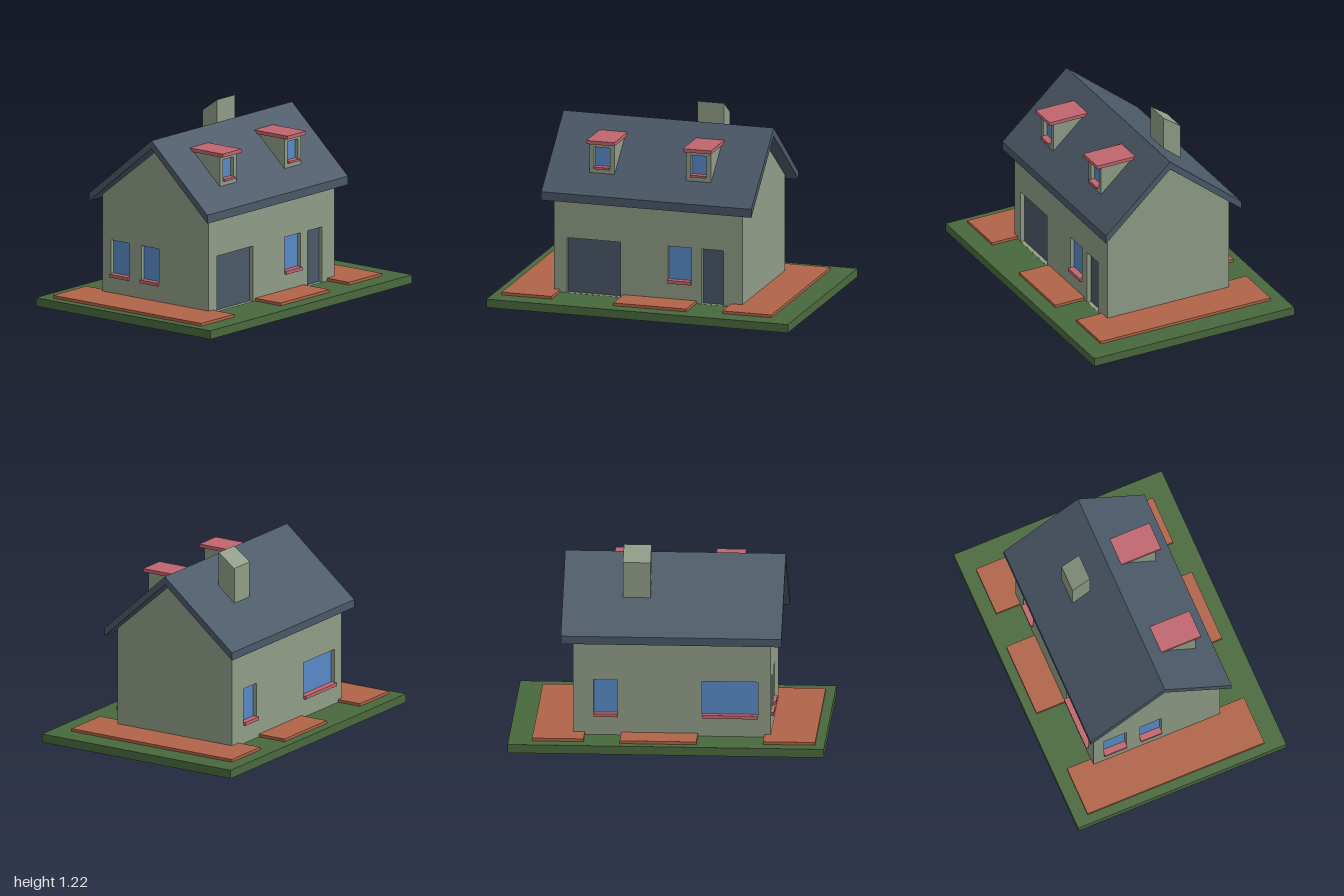
import * as THREE from 'three';

const mat = (name, color) => {
  const m = new THREE.MeshStandardMaterial({ color });
  m.name = name;
  return m;
};

export function createModel() {
  const house = new THREE.Group();
  house.name = 'house';
  const wall = mat('sage wall', 0x8f9c86);
  const slate = mat('slate', 0x4a5867);
  const glass = mat('blue glass', 0x588ac6);
  const trim = mat('rose trim', 0xc0656f);
  const paving = mat('terracotta paving', 0xb06347);
  const grass = mat('grass', 0x49693d);

  const add = (parent, name, geometry, material) => {
    const mesh = new THREE.Mesh(geometry, material);
    mesh.name = name;
    parent.add(mesh);
    return mesh;
  };
  // Box given by its lower and upper limits
  const box = (parent, name, material, x0, x1, y0, y1, z0, z1) => {
    const mesh = add(parent, name, new THREE.BoxGeometry(x1 - x0, y1 - y0, z1 - z0), material);
    mesh.position.set((x0 + x1) / 2, (y0 + y1) / 2, (z0 + z1) / 2);
    return mesh;
  };
  const outline = (points) => new THREE.Shape(points.map(([x, y]) => new THREE.Vector2(x, y)));

  // Wall panel with its outer face on local z = 0 and recessed windows or doors
  const T = 0.03;
  const panel = (name, points, openings) => {
    const group = new THREE.Group();
    group.name = name;
    const shape = outline(points);
    for (const { x0, x1, y0, y1, sill, door } of openings) {
      shape.holes.push(outline([[x0, y0], [x0, y1], [x1, y1], [x1, y0]]));
      box(group, door ? 'door' : 'windowPane', door ? slate : glass,
        x0 - 0.005, x1 + 0.005, y0 - 0.005, y1 + 0.005, -T - 0.004, -T + 0.004);
      if (sill) box(group, 'windowSill', trim, x0, x1, y0, y0 + sill, -T, 0.017);
    }
    const geometry = new THREE.ExtrudeGeometry(shape, { depth: T, bevelEnabled: false });
    geometry.translate(0, 0, -T);
    add(group, name + 'Panel', geometry, wall);
    house.add(group);
    return group;
  };
  const windowAt = (x0, x1) => ({ x0, x1, y0: 0.175, y1: 0.415, sill: 0.021 });
  const doorAt = (x0, x1) => ({ x0, x1, y0: 0.056, y1: 0.415, door: true });

  // Lawn and paving
  box(house, 'lawn', grass, -1, 1, 0, 0.055, -0.715, 0.715);
  box(house, 'leftPath', paving, 0.525, 0.85, 0.04, 0.073, -0.625, 0.59);
  box(house, 'rightPath', paving, -0.94, -0.61, 0.04, 0.073, -0.625, 0.59);
  box(house, 'middlePath', paving, -0.19, 0.295, 0.04, 0.073, -0.655, 0.62);

  // Four walls
  const X0 = -0.65, X1 = 0.6, Z0 = -0.46, Z1 = 0.41, LOW = 0.03, EAVE = 0.7, PEAK = 1.065;
  const front = panel('frontWall', [[X0, LOW], [X1, LOW], [X1, EAVE], [X0, EAVE]],
    [doorAt(-0.565, -0.21), windowAt(0.105, 0.262), doorAt(0.33, 0.475)]);
  front.position.z = Z1;
  const back = panel('backWall', [[-X1, LOW], [-X0, LOW], [-X0, EAVE], [-X1, EAVE]],
    [windowAt(-0.47, -0.32), windowAt(0.215, 0.57)]);
  back.position.z = Z0;
  back.rotation.y = Math.PI;
  const right = panel('rightGable',
    [[Z0, LOW], [Z1, LOW], [Z1, EAVE], [0, PEAK], [Z0, EAVE]],
    [windowAt(-0.39, -0.235), windowAt(-0.14, 0.005)]);
  right.position.x = X0;
  right.rotation.y = -Math.PI / 2;
  const left = panel('leftGable',
    [[-Z1, LOW], [-Z0, LOW], [-Z0, EAVE], [0, PEAK], [-Z1, EAVE]], []);
  left.position.x = X1;
  left.rotation.y = Math.PI / 2;

  // Gabled roof, its underside rising slightly towards the overhanging ends
  const roofShape = outline([[-0.458, 0.66], [-0.38, 0.727], [0, 1.06], [0.42, 0.731],
    [0.51, 0.662], [0.51, 0.713], [0, 1.13], [-0.458, 0.715]]);
  const roof = new THREE.ExtrudeGeometry(roofShape, { depth: 3, steps: 3, bevelEnabled: false });
  const stations = [-0.72, -0.65, 0.6, 0.675];
  const p = roof.attributes.position;
  for (let i = 0; i < p.count; i++) {
    const k = Math.round(p.getZ(i)), x = p.getX(i), y = p.getY(i);
    const topY = 1.13 - (x < 0 ? -x * 0.906 : x * 0.818);
    const inner = y < topY - 0.02 && x > -0.45 && x < 0.5;
    p.setXYZ(i, x, inner && (k === 0 || k === 3) ? y + 0.018 : y, stations[k]);
  }
  roof.computeVertexNormals();
  roof.rotateY(Math.PI / 2);
  add(house, 'roof', roof, slate);

  // Chimney with a sloping top
  const chimney = new THREE.ExtrudeGeometry(
    outline([[0.155, 0.93], [0.275, 0.85], [0.275, 1.135], [0.155, 1.22]]),
    { depth: 0.175, bevelEnabled: false });
  chimney.rotateY(Math.PI / 2);
  chimney.translate(0.12, 0, 0);
  add(house, 'chimney', chimney, wall);

  // Two dormers
  for (const x of [-0.358, 0.283]) {
    const face = panel('dormer',
      [[-0.083, 0.83], [0.083, 0.83], [0.083, 1.027], [-0.083, 1.027]],
      [{ x0: -0.052, x1: 0.052, y0: 0.86, y1: 1.0, sill: 0.014 }]);
    face.position.set(x, 0, 0.33);
    box(face, 'dormerBody', wall, -0.083, 0.083, 0.83, 1.027, -0.22, -T);
    box(face, 'dormerRoof', trim, -0.093, 0.093, 1.025, 1.048, -0.25, 0.033);
  }
  return house;
}
